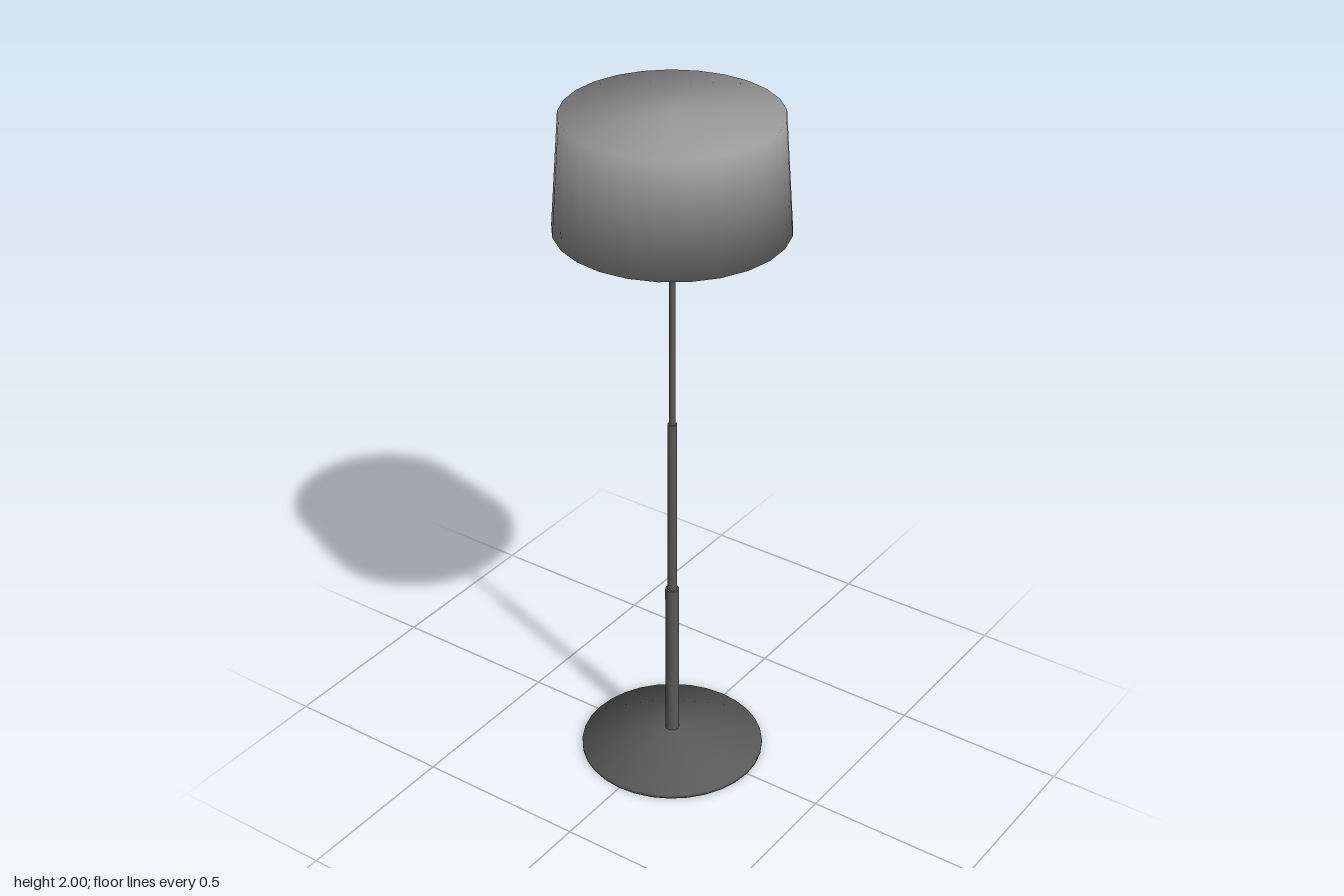
import * as THREE from 'three';

const darkMetal = new THREE.MeshStandardMaterial({ color: 0x5a5a5a });
const fabric = new THREE.MeshStandardMaterial({ color: 0x999999 });

function addMesh(parent, name, geometry, material = darkMetal) {
  const mesh = new THREE.Mesh(geometry, material);
  mesh.name = name;
  parent.add(mesh);
  return mesh;
}

// Turned part: profile runs with the outside on its right.
// Each normal is the even average of its two profile segments, so rims shade softly.
function lathe(profile, segments) {
  const points = profile.map(([r, y]) => new THREE.Vector2(r, y));
  const geometry = new THREE.LatheGeometry(points, segments);
  const sides = points.slice(1).map((p, j) => new THREE.Vector2(p.y - points[j].y, points[j].x - p.x).normalize());
  const normals = points.map((p, j) => {
    if (p.x === 0) return new THREE.Vector2(0, Math.sign((sides[j] ?? sides[j - 1]).y));
    return new THREE.Vector2().add(sides[j - 1] ?? sides[j]).add(sides[j] ?? sides[j - 1]).normalize();
  });
  for (let i = 0; i <= segments; i++) {
    const angle = i / segments * Math.PI * 2;
    normals.forEach((n, j) => geometry.attributes.normal.setXYZ(
      i * points.length + j, n.x * Math.sin(angle), n.y, n.x * Math.cos(angle)));
  }
  return geometry;
}

function rod(radius, bottom, top) {
  return new THREE.CylinderGeometry(radius, radius, top - bottom, 16).translate(0, (bottom + top) / 2, 0);
}

export function createModel() {
  const lamp = new THREE.Group();
  lamp.name = 'floorLamp';

  // Shallow conical foot with a thin rim
  addMesh(lamp, 'base', lathe([[0, 0], [0.265, 0], [0.265, 0.01], [0.02, 0.055], [0, 0.056]], 32));

  // Pole in three telescoping sections
  const pole = new THREE.Group();
  pole.name = 'pole';
  lamp.add(pole);
  addMesh(pole, 'lowerPole', rod(0.02, 0.045, 0.547));
  addMesh(pole, 'middlePole', rod(0.0135, 0.54, 1.088));
  addMesh(pole, 'upperPole', rod(0.0085, 1.08, 1.69));

  // Flange and socket at the top of the pole
  addMesh(lamp, 'socket', lathe([
    [0.009, 1.662], [0.018, 1.67], [0.046, 1.672], [0.046, 1.684],
    [0.026, 1.692], [0.034, 1.705], [0.034, 1.76], [0, 1.76],
  ], 20));

  // Bulb flaring out of the socket
  addMesh(lamp, 'bulb', lathe([
    [0.03, 1.755], [0.036, 1.775], [0.056, 1.815], [0.066, 1.85],
    [0.062, 1.88], [0.045, 1.905], [0.022, 1.917], [0, 1.92],
  ], 20), fabric);

  // Three bent wires carrying the shade
  const wirePath = new THREE.CurvePath();
  const v = (x, y) => new THREE.Vector3(x, y, 0);
  wirePath.add(new THREE.LineCurve3(v(0.03, 1.677), v(0.085, 1.677)));
  wirePath.add(new THREE.QuadraticBezierCurve3(v(0.085, 1.677), v(0.095, 1.677), v(0.095, 1.687)));
  wirePath.add(new THREE.LineCurve3(v(0.095, 1.687), v(0.095, 1.988)));
  const wireGeometry = new THREE.TubeGeometry(wirePath, 60, 0.0025, 6);
  for (let i = 0; i < 3; i++) {
    addMesh(lamp, 'shadeWire' + (i + 1), wireGeometry).rotation.y = i * Math.PI * 2 / 3;
  }

  // Tapered drum shade, closed on top, with a thin wall
  addMesh(lamp, 'shade', lathe([
    [0, 1.987], [0.282, 1.985], [0.305, 1.68], [0.314, 1.68], [0.291, 1.996], [0, 2],
  ], 25), fabric);

  return lamp;
}
